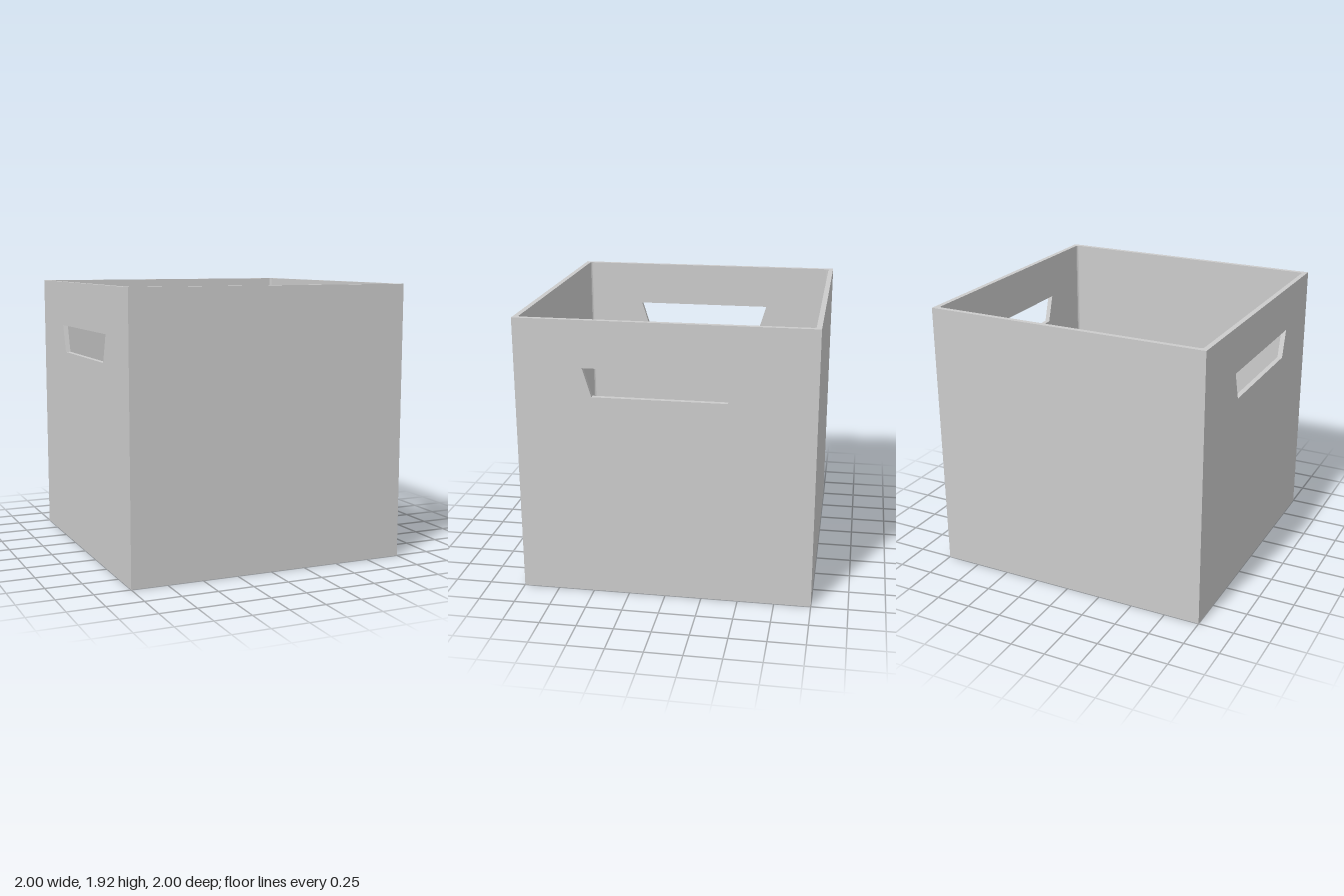
import * as THREE from 'three';

const HALF = 1;         // half of the outer width and depth
const HEIGHT = 1.925;
const WALL = 0.035;
const INNER = HALF - WALL;
const FILLET = 0.02;    // inner corner radius

export function createModel() {
  const model = new THREE.Group();
  model.name = 'storageBin';
  const material = new THREE.MeshStandardMaterial({ color: 0xcccccc });

  const add = (name, geometry, x = 0, y = 0, z = 0) => {
    const mesh = new THREE.Mesh(geometry, material);
    mesh.name = name;
    mesh.position.set(x, y, z);
    model.add(mesh);
    return mesh;
  };

  // Side panel outline, drawn as (z, y), with a tapered hand hole
  const panel = new THREE.Shape([
    new THREE.Vector2(-HALF, 0),
    new THREE.Vector2(HALF, 0),
    new THREE.Vector2(HALF, HEIGHT),
    new THREE.Vector2(-HALF, HEIGHT),
  ]);
  panel.holes.push(new THREE.Path([
    new THREE.Vector2(-0.42, 1.41),
    new THREE.Vector2(-0.48, 1.605),
    new THREE.Vector2(0.54, 1.605),
    new THREE.Vector2(0.48, 1.41),
  ]));
  const panelGeometry = new THREE.ExtrudeGeometry(panel, { depth: WALL, bevelEnabled: false });
  panelGeometry.rotateY(-Math.PI / 2);
  add('leftPanel', panelGeometry, HALF);
  add('rightPanel', panelGeometry, -INNER);

  // Front and back panels fit between the side panels
  const plainGeometry = new THREE.BoxGeometry(2 * INNER, HEIGHT, WALL);
  add('frontPanel', plainGeometry, 0, HEIGHT / 2, HALF - WALL / 2);
  add('backPanel', plainGeometry, 0, HEIGHT / 2, -HALF + WALL / 2);

  // Floor
  add('floor', new THREE.BoxGeometry(2 * INNER, WALL, 2 * INNER), 0, WALL / 2, 0);

  // Concave fillets round the four inner corners
  const corner = new THREE.Shape();
  corner.moveTo(0, 0);
  corner.lineTo(FILLET, 0);
  corner.absarc(FILLET, FILLET, FILLET, -Math.PI / 2, -Math.PI, true);
  corner.closePath();
  const cornerGeometry = new THREE.ExtrudeGeometry(corner, {
    depth: HEIGHT - WALL, bevelEnabled: false, curveSegments: 3,
  });
  cornerGeometry.rotateX(-Math.PI / 2);
  cornerGeometry.translate(-INNER, WALL, INNER);
  for (let i = 0; i < 4; i++) {
    add('innerCorner', cornerGeometry).rotation.y = (i * Math.PI) / 2;
  }

  return model;
}
